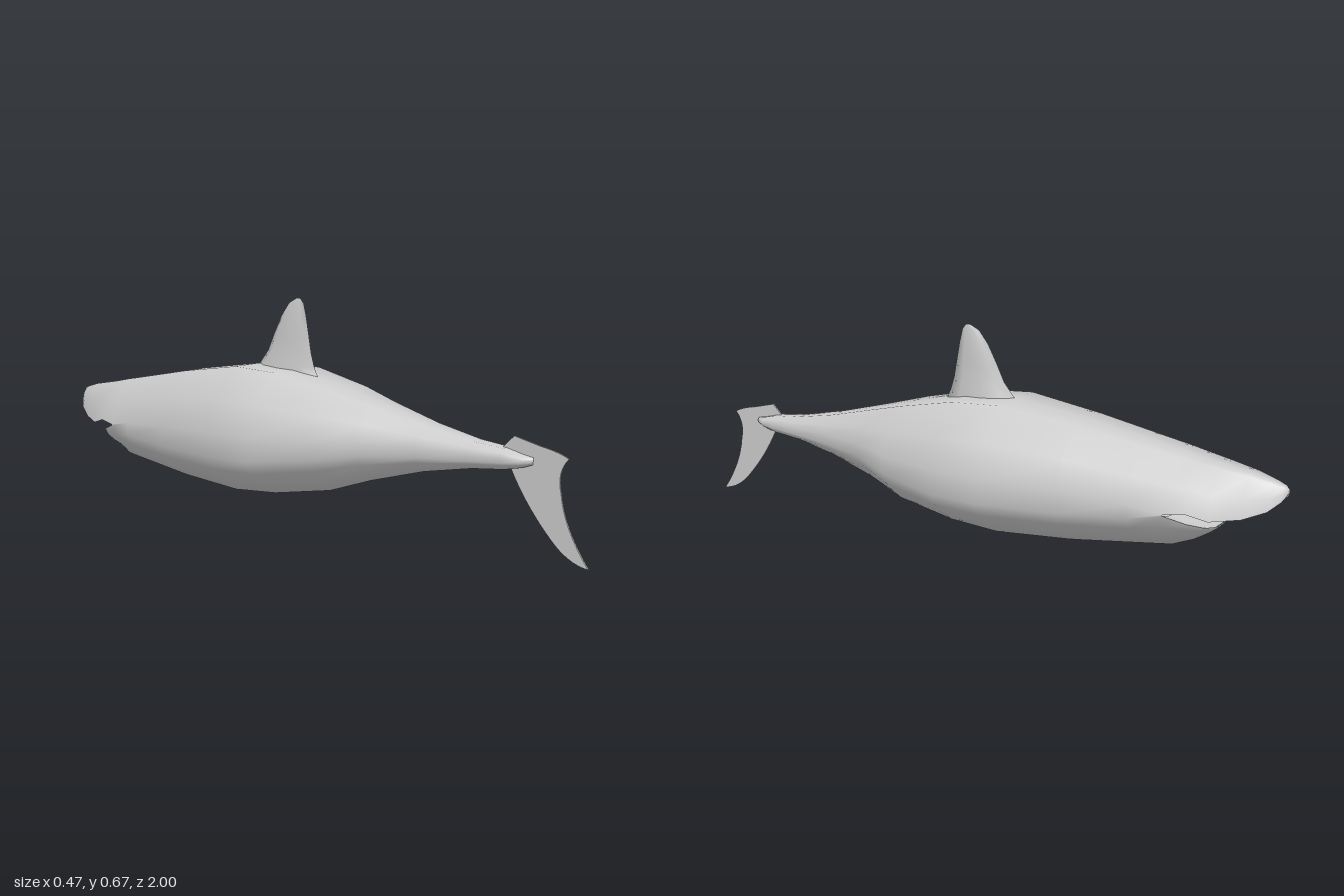
import * as THREE from 'three';
import { mergeGeometries, mergeVertices } from 'three/addons/utils/BufferGeometryUtils.js';

// Skin a grid of point rows; each row is [[x, y, z], ...]
function skin(rows) {
  const n = rows[0].length, index = [];
  for (let i = 0; i < rows.length - 1; i++) {
    for (let j = 0; j < n - 1; j++) {
      const a = i * n + j, c = a + n;
      index.push(a, a + 1, c, a + 1, c + 1, c);
    }
  }
  const g = new THREE.BufferGeometry();
  g.setAttribute('position', new THREE.Float32BufferAttribute(rows.flat(2), 3));
  g.setIndex(index);
  return g;
}

// Join skins into one smooth surface
function smooth(parts) {
  const g = mergeVertices(mergeGeometries(parts), 1e-5);
  g.computeVertexNormals();
  return g;
}

export function createModel() {
  const model = new THREE.Group();
  model.name = 'shark';
  const grey = new THREE.MeshStandardMaterial({ color: 0xcccccc, side: THREE.DoubleSide });
  grey.name = 'grey skin';
  const add = (name, geometry) => {
    const mesh = new THREE.Mesh(geometry, grey);
    mesh.name = name;
    model.add(mesh);
  };

  // Trunk stations, tail to mouth corner: z, half width, top, upper side, lower side, belly
  const trunk = [
    [0.83, 0.012, 0.275, 0.268, 0.262, 0.255],
    [0.80, 0.028, 0.28, 0.265, 0.258, 0.245],
    [0.75, 0.038, 0.292, 0.27, 0.255, 0.235],
    [0.65, 0.05, 0.302, 0.27, 0.25, 0.226],
    [0.50, 0.08, 0.33, 0.275, 0.245, 0.2],
    [0.33, 0.125, 0.372, 0.275, 0.235, 0.155],
    [0.20, 0.183, 0.405, 0.27, 0.215, 0.112],
    [0.00, 0.225, 0.446, 0.265, 0.19, 0.08],
    [-0.16, 0.235, 0.455, 0.265, 0.19, 0.07],
    [-0.40, 0.197, 0.422, 0.255, 0.19, 0.083],
    [-0.60, 0.165, 0.387, 0.24, 0.2, 0.105],
    [-0.70, 0.148, 0.37, 0.224, 0.22, 0.116],
  ];
  // Snout: z, half width, top, lip
  const snout = [
    [-0.76, 0.138, 0.358, 0.232],
    [-0.82, 0.12, 0.348, 0.215],
    [-0.90, 0.085, 0.335, 0.225],
    [-0.96, 0.055, 0.32, 0.248],
    [-0.99, 0.03, 0.311, 0.274],
    [-1.0, 0.012, 0.303, 0.29],
    [-1.0, 0, 0.297, 0.297],
  ];
  // Lower jaw: z, half width, lip, chin
  const jaw = [
    [-0.76, 0.125, 0.2, 0.138],
    [-0.80, 0.092, 0.187, 0.16],
    [-0.818, 0.05, 0.181, 0.172],
    [-0.818, 0, 0.178, 0.178],
  ];

  // Back arc runs over the top, belly arc runs under
  const back = [[-1, 0], [-0.85, 0.5], [-0.46, 1], [0, 1.01], [0.46, 1], [0.85, 0.5], [1, 0]];
  const belly = [[1, 1], [0.9, 0.66], [0.7, 0.33], [0.46, 0], [0, 0],
    [-0.46, 0], [-0.7, 0.33], [-0.9, 0.66], [-1, 1]];
  const arc = (shape, z, w, hi, lo) => shape.map(([x, t]) => [x * w, lo + (hi - lo) * t, z]);

  const tailEnd = 0.265;
  const rings = [[0.83, 0, tailEnd, tailEnd, tailEnd, tailEnd], ...trunk];
  const upper = [...rings, ...snout].map(([z, w, top, lip]) => arc(back, z, w, top, lip));
  const lower = [
    ...rings.map(([z, w, , , lip, low]) => arc(belly, z, w, lip, low)),
    ...jaw.map(([z, w, lip, low]) => arc(belly, z, w, lip, low)),
  ];
  const right = rings.map(([z, w, , u, l]) => [[w, u, z], [w, l, z]]);
  const left = rings.map(([z, w, , u, l]) => [[-w, l, z], [-w, u, z]]);
  add('body', smooth([skin(upper), skin(lower), skin(right), skin(left)]));

  // Mouth lining: arched palate and hollowed jaw floor
  const corner = trunk[trunk.length - 1];
  const palate = [[corner[0], corner[1], 0, corner[3]], ...snout].map(([z, w, , y]) =>
    [[w, y, z], [w * 0.6, y + w * 0.12, z], [-w * 0.6, y + w * 0.12, z], [-w, y, z]]);
  add('palate', smooth([skin(palate)]));
  const floor = [[corner[0], corner[1], corner[4]], ...jaw].map(([z, w, y]) =>
    [[-w, y, z], [-w * 0.6, y - w * 0.1, z], [w * 0.6, y - w * 0.1, z], [w, y, z]]);
  add('jawFloor', smooth([skin(floor)]));

  // Dorsal fin: y, front z, rear z, half thickness
  const fin = [
    [0.42, -0.19, 0.085, 0.033],
    [0.46, -0.155, 0.066, 0.029],
    [0.50, -0.122, 0.054, 0.02],
    [0.55, -0.098, 0.045, 0.017],
    [0.61, -0.066, 0.034, 0.012],
    [0.65, -0.035, 0.024, 0.006],
    [0.665, -0.006, 0.012, 0.002],
    [0.666, 0.003, 0.003, 0],
  ];
  const finRows = fin.map(([y, f, r, t]) => {
    const at = (s, x) => [x * t, y, f + (r - f) * s];
    return [at(0, 0), at(0.15, -0.65), at(0.45, -1), at(0.8, -0.6), at(1, 0),
      at(0.8, 0.6), at(0.45, 1), at(0.15, 0.65), at(0, 0)];
  });
  add('dorsalFin', smooth([skin(finRows)]));

  // Tail fin: thin drooping crescent, drawn in z and y
  const s = new THREE.Shape();
  s.moveTo(0.737, 0.295);
  s.lineTo(0.77, 0.327);
  s.lineTo(0.85, 0.308);
  s.quadraticCurveTo(0.91, 0.298, 0.935, 0.283);
  s.quadraticCurveTo(0.90, 0.245, 0.915, 0.19);
  s.quadraticCurveTo(0.925, 0.1, 1.0, 0.0);
  s.quadraticCurveTo(0.94, 0.005, 0.885, 0.065);
  s.quadraticCurveTo(0.81, 0.145, 0.765, 0.232);
  s.closePath();
  const tail = new THREE.ExtrudeGeometry(s, { depth: 0.005, bevelEnabled: false, curveSegments: 8 });
  tail.translate(0, 0, -0.0025).rotateY(-Math.PI / 2);
  add('tailFin', tail);

  return model;
}
